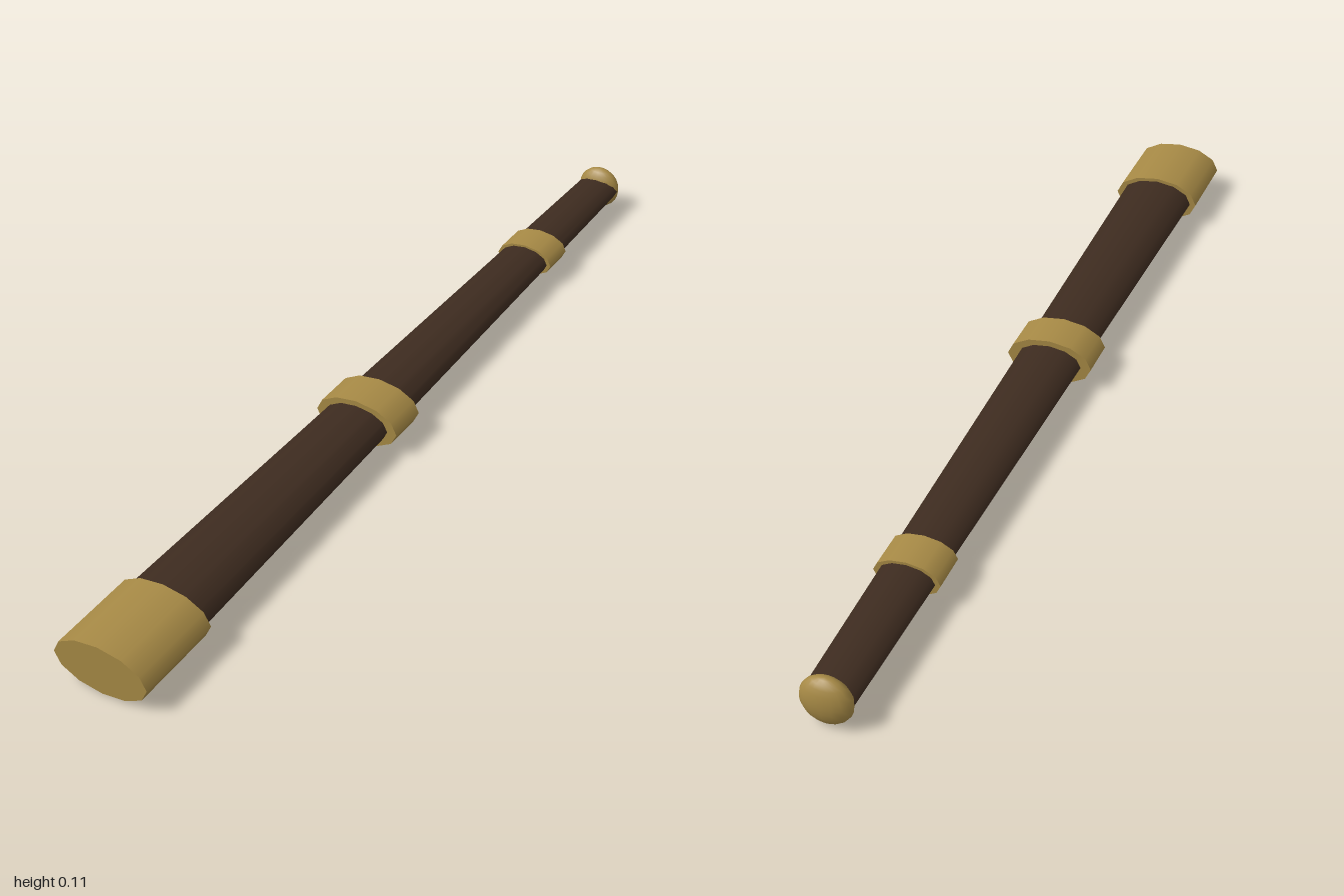
import * as THREE from 'three';

export function createModel() {
  const group = new THREE.Group();
  group.name = 'scabbard';
  const leather = new THREE.MeshStandardMaterial({ color: 0x3d2b1f });
  leather.name = 'darkLeather';
  const brass = new THREE.MeshStandardMaterial({ color: 0xa68945 });
  brass.name = 'brass';

  const CENTRE_Y = 0.056;
  const FLATTEN = 0.54; // height of the oval section relative to its width

  function add(name, geometry, material, z) {
    const mesh = new THREE.Mesh(geometry, material);
    mesh.name = name;
    mesh.position.set(0, CENTRE_Y, z);
    group.add(mesh);
  }

  // Twelve-sided oval tube running from zBack to zFront
  function ovalTube(name, rFront, rBack, zFront, zBack, material) {
    const geometry = new THREE.CylinderGeometry(rFront, rBack, zFront - zBack, 12);
    geometry.rotateX(Math.PI / 2).scale(1, FLATTEN, 1);
    add(name, geometry, material, (zFront + zBack) / 2);
  }

  // Tapered leather body
  ovalTube('body', 0.088, 0.05, 0.98, -0.97, leather);

  // Brass throat and bands
  ovalTube('throat', 0.099, 0.099, 1.0, 0.815, brass);
  ovalTube('middleBand', 0.0935, 0.0935, 0.17, 0.08, brass);
  ovalTube('lowerBand', 0.067, 0.067, -0.57, -0.65, brass);

  // Flattened ball at the tip
  const tip = new THREE.SphereGeometry(0.051, 16, 12).scale(1, 1, 0.51);
  add('tipCap', tip, brass, -0.974);

  return group;
}
